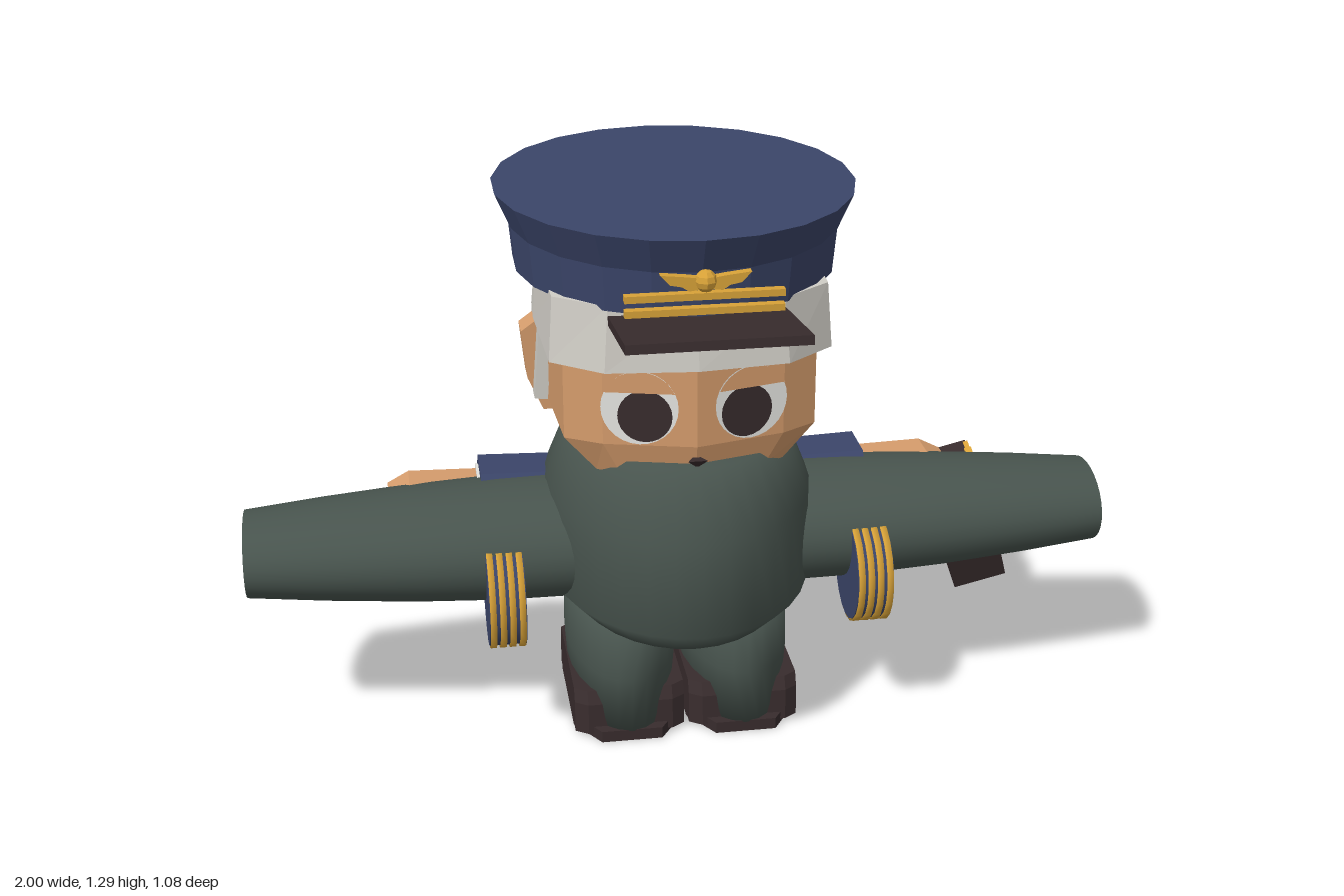
import * as THREE from 'three';

const mat = (name, color, side = THREE.FrontSide) => {
  const m = new THREE.MeshStandardMaterial({ color, side });
  m.name = name;
  return m;
};

// Hard-edged copy of a geometry
const flat = (g) => {
  const n = g.index ? g.toNonIndexed() : g;
  n.computeVertexNormals();
  return n;
};

const box = (w, h, d) => new THREE.BoxGeometry(w, h, d);
const lathe = (pts, seg) => new THREE.LatheGeometry(pts.map(p => new THREE.Vector2(...p)), seg);
// Lathe turned so that its axis runs along +x
const latheX = (pts, seg, spin = 0) => lathe(pts, seg).rotateY(spin).rotateZ(-Math.PI / 2);

// Closed solid through mirrored cross-sections, bottom to top: [y, [[x, z], ...]] from front to back
function loft(sections) {
  const pos = [], idx = [];
  const rings = sections.map(([y, half]) => {
    const back = half.slice(1, -1).reverse().map(([x, z]) => [-x, z]);
    return [...half, ...back].map(([x, z]) => [x, y, z]);
  });
  const n = rings[0].length;
  rings.forEach(r => r.forEach(p => pos.push(...p)));
  for (let k = 0; k < rings.length - 1; k++) {
    for (let i = 0; i < n; i++) {
      const a = k * n + i, b = k * n + (i + 1) % n;
      idx.push(a, b, b + n, a, b + n, a + n);
    }
  }
  const top = (rings.length - 1) * n;
  for (let i = 1; i < n - 1; i++) {
    idx.push(0, i + 1, i);
    idx.push(top, top + i, top + i + 1);
  }
  const g = new THREE.BufferGeometry();
  g.setAttribute('position', new THREE.Float32BufferAttribute(pos, 3));
  g.setIndex(idx);
  return flat(g);
}

export function createModel() {
  const green = mat('dark green cloth', 0x48544e, THREE.DoubleSide);
  const blue = mat('navy cloth', 0x3b4569);
  const brown = mat('dark brown leather', 0x382c2d);
  const skin = mat('skin', 0xd59c6c);
  const hairMat = mat('silver hair', 0xd0cdc6);
  const gold = mat('gold', 0xd8a238);
  const white = mat('white', 0xe6e6e2);

  const model = new THREE.Group();
  const add = (parent, name, geo, material, x = 0, y = 0, z = 0) => {
    const m = new THREE.Mesh(geo, material);
    m.name = name;
    m.position.set(x, y, z);
    parent.add(m);
    return m;
  };
  const group = (parent, name) => {
    const g = new THREE.Group();
    g.name = name;
    parent.add(g);
    return g;
  };

  // Torso and the bit of trousers between the legs
  add(model, 'torso', lathe([[0, 0.3], [0.33, 0.3], [0.41, 0.37], [0.41, 0.595], [0.33, 0.745], [0, 0.745]], 32)
    .scale(0.75, 1, 1), green, 0, 0, -0.05);
  add(model, 'trouserSeat', box(0.09, 0.06, 0.3), blue, 0, 0.3, -0.07);

  // Head
  const face = [[0, 0.262], [0.2, 0.212], [0.28, 0.165], [0.295, -0.1], [0.25, -0.22], [0, -0.3]];
  add(model, 'head', loft([
    [0.71, [[0, 0.24], [0.16, 0.2], [0.21, 0.165], [0.22, -0.1], [0.2, -0.2], [0, -0.28]]],
    [0.79, face], [1.0, face],
  ]), skin);
  add(model, 'mouth', new THREE.ConeGeometry(0.025, 0.02, 3).rotateX(Math.PI), brown, 0, 0.752, 0.262);

  // Hair: cap under the hat and full back
  add(model, 'hairCap', loft([
    [0.975, [[0, 0.285], [0.2, 0.265], [0.31, 0.18], [0.32, -0.1], [0.315, -0.2], [0, -0.25]]],
    [1.12, [[0, 0.265], [0.19, 0.25], [0.3, 0.17], [0.31, -0.1], [0.3, -0.2], [0, -0.25]]],
  ]), hairMat);
  add(model, 'hairBack', loft([
    [0.69, [[0, -0.17], [0.24, -0.17], [0.22, -0.23], [0.13, -0.29], [0, -0.31]]],
    [0.745, [[0, -0.18], [0.27, -0.18], [0.25, -0.28], [0.14, -0.36], [0, -0.38]]],
    [0.94, [[0, -0.2], [0.317, -0.2], [0.3, -0.32], [0.17, -0.44], [0, -0.46]]],
    [1.12, [[0, -0.18], [0.3, -0.18], [0.26, -0.26], [0.14, -0.35], [0, -0.365]]],
  ]), hairMat);

  // Peaked cap
  const hat = group(model, 'hat');
  add(hat, 'hatCrown', flat(lathe([[0, 1.11], [0.402, 1.11], [0.412, 1.21], [0.45, 1.29], [0, 1.29]], 22)
    .scale(0.9, 1, 1)), blue, 0, 0, -0.09);
  add(hat, 'visor', box(0.38, 0.02, 0.34), brown, 0, 1.107, 0.37).rotation.x = -0.15;
  for (const y of [1.138, 1.17]) add(hat, 'hatBraid', box(0.335, 0.015, 0.02), gold, 0, y, 0.348);
  const wing = new THREE.Shape([[0, 1.19], [0.035, 1.185], [0.05, 1.195], [0.075, 1.2], [0.095, 1.222], [0.04, 1.216], [0, 1.21]]
    .map(p => new THREE.Vector2(...p)));
  add(hat, 'badgeCentre', flat(new THREE.SphereGeometry(0.024, 8, 6)), gold, 0, 1.205, 0.36);

  // Everything that comes in pairs
  for (const side of [1, -1]) {
    const half = group(model, side > 0 ? 'leftSide' : 'rightSide');
    half.scale.x = side;

    add(half, 'badgeWing', new THREE.ExtrudeGeometry(wing, { depth: 0.02, bevelEnabled: false }), gold, 0, 0, 0.345);

    // Eye: white, pupil and lid as thin faces
    const eye = group(half, 'eye');
    eye.position.set(0.122, 0.88, 0.235);
    eye.rotation.y = 0.25;
    add(eye, 'eyeWhite', new THREE.CircleGeometry(0.085, 28), white, 0, 0, 0.003);
    add(eye, 'pupil', new THREE.CircleGeometry(0.06, 24), brown, -0.012, -0.018, 0.006);
    const lid = new THREE.Shape();
    lid.absarc(0, 0, 0.086, 0.44, Math.PI - 0.44, false);
    add(eye, 'eyelid', new THREE.ShapeGeometry(lid, 20), skin, 0, 0, 0.009);

    // Ear and sideburn
    const ear = new THREE.Shape([[0.27, 0.74], [0.3, 0.74], [0.335, 0.82], [0.347, 0.935], [0.305, 0.965], [0.27, 0.965]]
      .map(p => new THREE.Vector2(...p)));
    add(half, 'ear', new THREE.ExtrudeGeometry(ear, { depth: 0.07, bevelEnabled: false }), skin, 0, 0, -0.19);
    add(half, 'sideburn', box(0.03, 0.2, 0.047), hairMat, 0.302, 0.895, -0.073).rotation.z = 0.08;

    // Wide open sleeve
    add(half, 'sleeve', latheX([[0.135, 0.24], [0.134, 0.42], [0.125, 0.62], [0.11, 0.82], [0.093, 1]], 28)
      .scale(1, 1, 1.42), green, 0, 0.463, -0.03);

    // Arm behind the sleeve: cuff, shirt edge and hand
    const spin = Math.PI / 8;
    add(half, 'cuff', flat(latheX([[0, 0.25], [0.142, 0.27], [0.148, 0.455], [0.125, 0.455]], 8, spin)), blue, 0, 0.468, -0.13);
    add(half, 'shirtCuff', flat(latheX([[0.125, 0.44], [0.128, 0.462], [0, 0.462]], 8, spin)), white, 0, 0.468, -0.13);
    add(half, 'hand', flat(latheX([[0, 0.42], [0.115, 0.42], [0.12, 0.62], [0.095, 0.67], [0, 0.67]], 8, spin)), skin, 0, 0.468, -0.13);

    // Rank rings below the sleeve
    add(half, 'rankBand', new THREE.CylinderGeometry(0.117, 0.117, 0.084, 20).rotateZ(Math.PI / 2), blue, 0.421, 0.39, 0.118);
    for (let i = 0; i < 4; i++) {
      add(half, 'rankRing', latheX([[0.112, -0.007], [0.123, -0.007], [0.123, 0.007], [0.112, 0.007]], 20),
        gold, 0.388 + i * 0.022, 0.39, 0.118);
    }

    // Leg, boot with protruding corners, and sole
    add(half, 'leg', lathe([[0, 0.025], [0.245, 0.025], [0.265, 0.17], [0.26, 0.32], [0, 0.32]], 24)
      .scale(0.495, 1, 1), green, 0.136, 0, -0.078);
    const boot = (h, w, front, back) => loft([0, h].map(y =>
      [y, [[0, front], [w * 0.55, front], [w, front - 0.09], [w, back + 0.09], [w * 0.55, back], [0, back]]]));
    add(half, 'sole', boot(0.028, 0.13, 0.165, -0.28), brown, 0.136, 0, 0);
    add(half, 'boot', loft([[0.01, 0], [0.085, 0.005], [0.115, 0.02]].map(([y, t]) =>
      [y, [[0, 0.14 - t], [0.1, 0.14 - t], [0.13, 0.12 - t], [0.13, -0.22 + t], [0.1, -0.245 + t], [0, -0.245 + t]]])),
      brown, 0.136, 0, 0);
  }

  // Briefcase hanging from the left hand
  const bag = group(model, 'briefcase');
  bag.position.set(0.745, 0.355, -0.2);
  bag.rotation.set(0.33, 0, 0.3);
  add(bag, 'caseBody', box(0.13, 0.2, 0.29), brown);
  for (const x of [-0.064, 0.064]) {
    add(bag, 'caseTrim', box(0.012, 0.022, 0.275), gold, x, 0.092, 0);
    for (const z of [-0.1, 0.1]) add(bag, 'clasp', box(0.018, 0.05, 0.025), gold, x, 0.08, z);
  }
  const arch = new THREE.CatmullRomCurve3([[0.09, -0.055], [0.14, -0.045], [0.15, 0], [0.14, 0.045], [0.09, 0.055]]
    .map(([y, z]) => new THREE.Vector3(0, y, z)));
  add(bag, 'caseHandle', new THREE.TubeGeometry(arch, 12, 0.013, 6), brown);

  return model;
}
